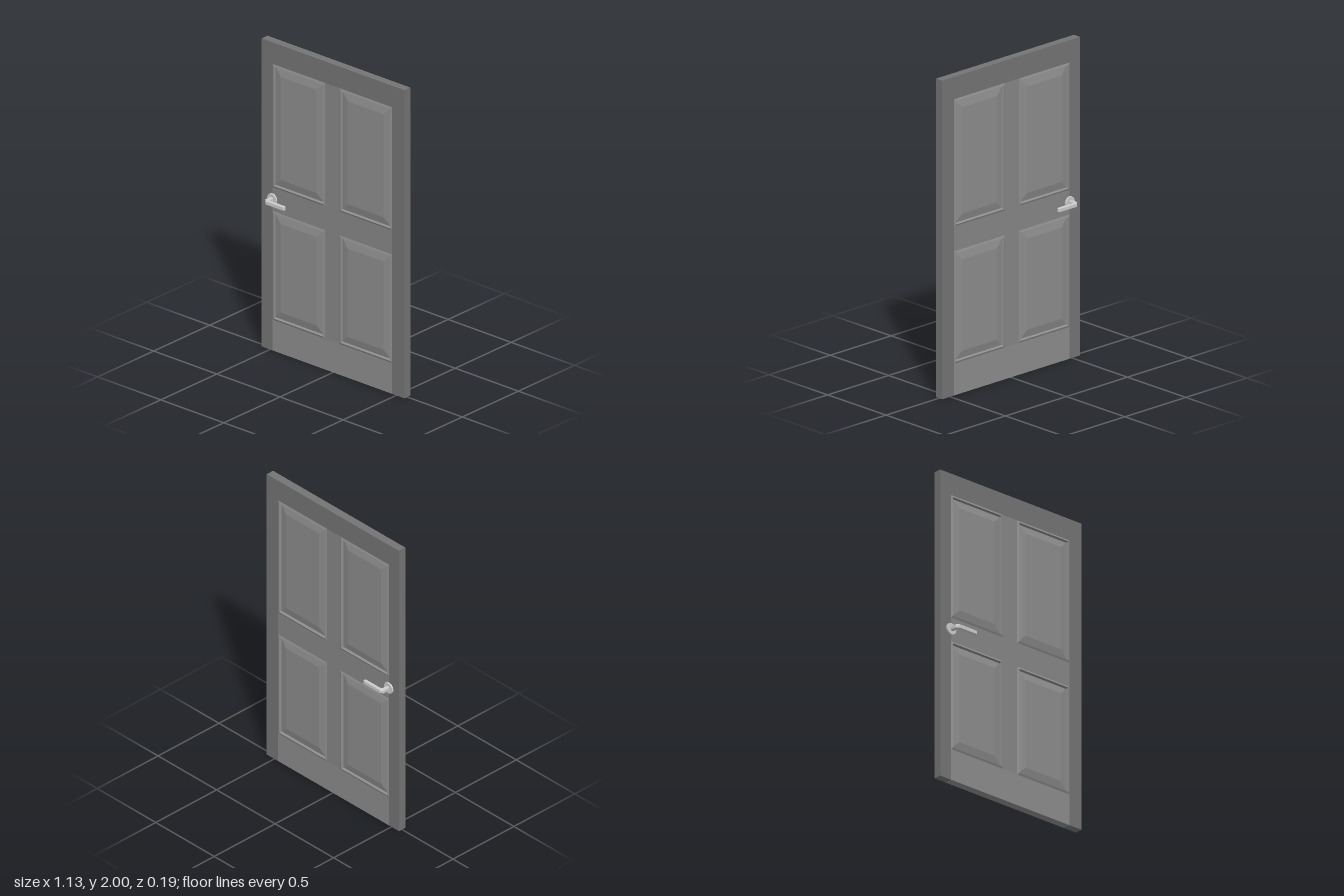
import * as THREE from 'three';

const makeMaterial = color => new THREE.MeshStandardMaterial({ color, flatShading: true });
const metal = makeMaterial(0xcccccc);
const darkWood = makeMaterial(0x747474);
const midWood = makeMaterial(0x868686);
const lightWood = makeMaterial(0x8c8c8c);

const SLAB = 0.026; // half thickness of the frame
// Panel section from the raised field out to the frame: [inset, half thickness]
const PANEL_STEPS = [[0.066, 0.027], [0.018, 0.017], [0.012, 0.031], [0, SLAB]];

function addMesh(parent, name, geometry, material) {
  const mesh = new THREE.Mesh(geometry, material);
  mesh.name = name;
  parent.add(mesh);
}

// Frame member between two corners
function boardGeometry(x0, x1, y0, y1) {
  return new THREE.BoxGeometry(x1 - x0, y1 - y0, SLAB * 2)
    .translate((x0 + x1) / 2, (y0 + y1) / 2, 0);
}

// Panel with a thin raised rim and a bevelled field on both faces
function panelGeometry(x0, x1, y0, y1) {
  const w = x1 - x0, h = y1 - y0;
  const geo = new THREE.BoxGeometry(w, h, 7, 1, 1, 7);
  const pos = geo.attributes.position;
  for (let i = 0; i < pos.count; i++) {
    const z = pos.getZ(i);
    const [inset, depth] = PANEL_STEPS[Math.round(3.5 - Math.abs(z))];
    pos.setXYZ(i,
      Math.sign(pos.getX(i)) * (w / 2 - inset),
      Math.sign(pos.getY(i)) * (h / 2 - inset),
      Math.sign(z) * depth);
  }
  geo.computeVertexNormals();
  return geo.translate((x0 + x1) / 2, (y0 + y1) / 2, 0);
}

// Bent lever, outlined in plan (x, distance from the leaf) and given height
function leverGeometry() {
  const outline = [
    [-0.491, 0.015], [-0.467, 0.015], [-0.467, 0.066], [-0.458, 0.074],
    [-0.334, 0.074], [-0.329, 0.079], [-0.329, 0.09], [-0.334, 0.095],
    [-0.473, 0.095], [-0.491, 0.079],
  ].map(([x, z]) => new THREE.Vector2(x, z));
  const bevel = 0.003, height = 0.026;
  return new THREE.ExtrudeGeometry(new THREE.Shape(outline), {
    depth: height - 2 * bevel, bevelSize: bevel, bevelOffset: -bevel,
    bevelThickness: bevel, bevelSegments: 1,
  }).translate(0, 0, bevel - height / 2);
}

export function createModel() {
  const door = new THREE.Group();
  door.name = 'door';

  const columns = { right: [-0.48, -0.065], left: [0.05, 0.467] };
  const rows = { lower: [0.2, 0.905], upper: [1.06, 1.86] };

  // Stiles and rails
  addMesh(door, 'right stile', boardGeometry(-0.565, -0.48, 0, 2), darkWood);
  addMesh(door, 'left stile', boardGeometry(0.467, 0.565, 0, 2), darkWood);
  addMesh(door, 'top rail', boardGeometry(-0.48, 0.467, 1.86, 2), darkWood);
  addMesh(door, 'middle rail', boardGeometry(-0.48, 0.467, 0.905, 1.06), midWood);
  addMesh(door, 'bottom rail', boardGeometry(-0.48, 0.467, 0, 0.2), lightWood);

  // Centre posts and the panels on both sides of them
  for (const [level, ys] of Object.entries(rows)) {
    addMesh(door, `${level} centre post`, boardGeometry(-0.065, 0.05, ...ys), midWood);
    for (const [side, xs] of Object.entries(columns)) {
      addMesh(door, `${level} ${side} panel`, panelGeometry(...xs, ...ys), lightWood);
    }
  }

  // A handle on each face: round rose plate and lever
  for (const s of [1, -1]) {
    const handle = new THREE.Group();
    handle.name = s > 0 ? 'frontHandle' : 'backHandle';
    handle.position.y = 0.983;
    const rose = new THREE.CylinderGeometry(0.036, 0.04, 0.016, 16).rotateX(s * Math.PI / 2);
    addMesh(handle, 'rose', rose.translate(-0.48, 0, s * 0.026), metal);
    addMesh(handle, 'lever', leverGeometry().rotateX(s * Math.PI / 2), metal);
    door.add(handle);
  }
  return door;
}
